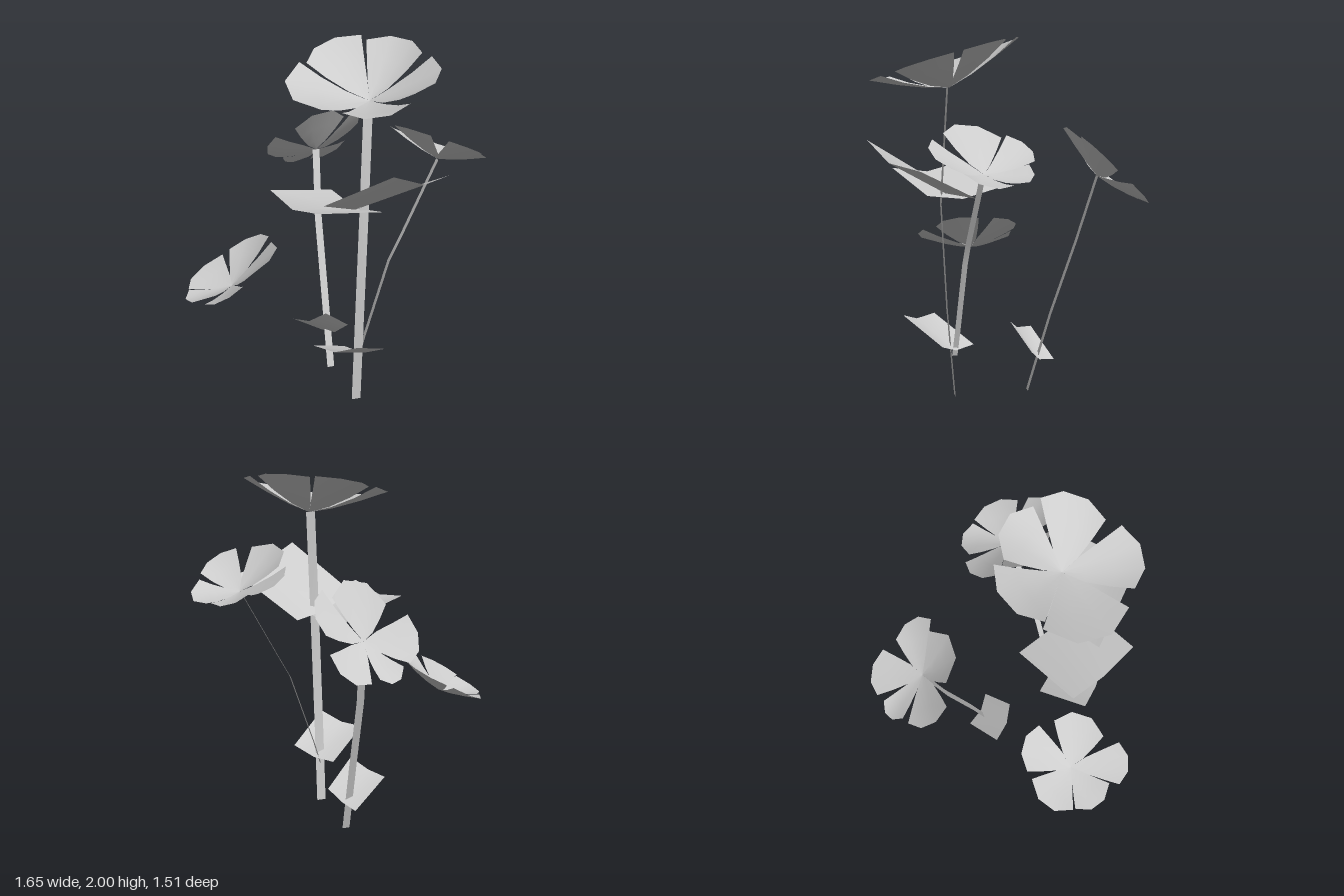
import * as THREE from 'three';

const V = (p) => new THREE.Vector3(...p);

// Indexed surface from a function (row, column) -> [x, y, z]
function gridGeometry(rows, cols, at) {
  const pos = [], idx = [];
  for (let i = 0; i <= rows; i++) {
    for (let j = 0; j <= cols; j++) pos.push(...at(i, j));
  }
  for (let i = 0; i < rows; i++) {
    for (let j = 0; j < cols; j++) {
      const a = i * (cols + 1) + j, b = a + 1, c = a + cols + 1, d = c + 1;
      idx.push(a, b, c, b, d, c);
    }
  }
  const g = new THREE.BufferGeometry();
  g.setAttribute('position', new THREE.Float32BufferAttribute(pos, 3));
  g.setIndex(idx);
  g.computeVertexNormals();
  return g;
}

// Tilted cup of petals; each petal is [start angle, end angle, radius],
// joined near the heart and separated by narrow slits towards the rim
function flower(name, { center, slopeX, slopeZ, lift, petals }, material) {
  const group = new THREE.Group();
  group.name = name;
  const rowsT = [0, 0.3, 0.65, 1];
  const rim = [0.9, 1, 1, 0.9];
  petals.forEach(([a0, a1, R], k) => {
    const n = petals.length;
    const prevEnd = petals[(k + n - 1) % n][1], nextStart = petals[(k + 1) % n][0];
    const wrap = (d) => ((d % 360) + 540) % 360 - 180;
    const s0 = a0 + wrap(prevEnd - a0) / 2;
    const s1 = a1 + wrap(nextStart - a1) / 2;
    const geometry = gridGeometry(3, 3, (i, j) => {
      const t = rowsT[i], open = Math.max(0, (t - 0.3) / 0.7), u = j / 3;
      const spread = Math.min(1, open * 1.4);
      const lo = THREE.MathUtils.lerp(s0, a0, spread);
      const hi = THREE.MathUtils.lerp(s1, a1, spread);
      const a = THREE.MathUtils.degToRad(THREE.MathUtils.lerp(lo, hi, u));
      const r = R * t * THREE.MathUtils.lerp(1, rim[j], open);
      const dx = r * Math.cos(a), dz = r * Math.sin(a);
      const y = slopeX * dx + slopeZ * dz + lift * Math.pow(t, 1.25);
      return [center[0] + dx, center[1] + y, center[2] + dz];
    });
    const petal = new THREE.Mesh(geometry, material);
    petal.name = 'petal';
    group.add(petal);
  });
  return group;
}

// Flat ribbon stem following a few points, widened along one axis
function stem(name, points, axis, width, material) {
  const side = V(axis).multiplyScalar(width / 2);
  const geometry = gridGeometry(points.length - 1, 1, (i, j) =>
    V(points[i]).addScaledVector(side, j ? 1 : -1).toArray());
  const mesh = new THREE.Mesh(geometry, material);
  mesh.name = name;
  return mesh;
}

// Leaf from two base corners and two tip corners, folded along its midrib
function leaf(name, corners, fold, material) {
  const [b0, b1, t0, t1] = corners.map(V);
  const normal = b1.clone().sub(b0).cross(t0.clone().sub(b0)).normalize();
  if (normal.y < 0) normal.negate();
  const geometry = gridGeometry(1, 2, (i, j) => {
    const p = (i ? t0 : b0).clone().lerp(i ? t1 : b1, j / 2);
    if (j === 1) p.addScaledVector(normal, -fold);
    return p.toArray();
  });
  const mesh = new THREE.Mesh(geometry, material);
  mesh.name = name;
  return mesh;
}

export function createModel() {
  const model = new THREE.Group();
  model.name = 'flowers';
  const grey = new THREE.MeshStandardMaterial({ color: 0xcccccc, side: THREE.DoubleSide });
  grey.name = 'pale grey';

  // Flower heads
  const heads = {
    tallFlower: {
      center: [0.115, 1.73, 0.31], slopeX: 0.2, slopeZ: -0.26, lift: 0.16,
      petals: [[221, 283, 0.39], [287, 356, 0.33], [6, 68, 0.365], [79, 132, 0.42], [148, 221, 0.435]],
    },
    sideFlower: {
      center: [0.55, 1.34, 0.215], slopeX: -0.45, slopeZ: 0.22, lift: 0.1,
      petals: [[217, 264, 0.3], [272, 328, 0.255], [334, 398, 0.265], [50, 102, 0.29], [124, 215, 0.25]],
    },
    backFlower: {
      center: [0.1, 1.22, -0.51], slopeX: 0.08, slopeZ: 0.96, lift: 0.1,
      petals: [[173, 223, 0.285], [232, 270, 0.265], [281, 330, 0.29], [347, 400, 0.25], [40, 153, 0.19]],
    },
    lowFlower: {
      center: [-0.575, 0.69, 0.06], slopeX: 0.55, slopeZ: 0.08, lift: 0.1,
      petals: [[203, 273, 0.265], [283, 340, 0.28], [0, 78, 0.25], [93, 136, 0.32], [140, 200, 0.26]],
    },
  };
  for (const [name, spec] of Object.entries(heads)) model.add(flower(name, spec, grey));

  // Stems
  model.add(
    stem('tallStem', [[0.065, 0, 0.285], [0.065, 0.5, 0.325], [0.073, 1.1, 0.355], [0.105, 1.73, 0.32]],
      [1, 0, 0], 0.052, grey),
    stem('sideStem', [[0.07, 0.235, 0.285], [0.11, 0.37, 0.277], [0.255, 0.8, 0.26], [0.32, 0.92, 0.255], [0.545, 1.34, 0.22]],
      [0, 0, 1], 0.03, grey),
    stem('backStem', [[0.06, 0, -0.13], [0.065, 0.44, -0.26], [0.075, 0.85, -0.4], [0.1, 1.22, -0.51]],
      [1, 0, 0], 0.042, grey),
  );

  // Leaves: base corners, then tip corners
  model.add(
    leaf('upperFrontLeaf', [[-0.17, 1.22, 0.41], [0.23, 1.15, 0.19], [0.08, 1.46, 0.746], [0.476, 1.355, 0.53]], 0.045, grey),
    leaf('upperSideLeaf', [[0.01, 1.16, 0.02], [0.15, 1.16, 0.44], [-0.376, 1.245, 0.15], [-0.254, 1.245, 0.57]], 0.042, grey),
    leaf('lowerFrontLeaf', [[0.03, 0.28, 0.17], [0.2, 0.33, 0.375], [-0.21, 0.405, 0.35], [-0.03, 0.457, 0.555]], 0.03, grey),
    leaf('lowerBackLeaf', [[0.06, 0.17, -0.285], [0.165, 0.255, -0.13], [-0.145, 0.31, -0.2], [0, 0.39, -0.045]], 0.03, grey),
  );
  return model;
}
